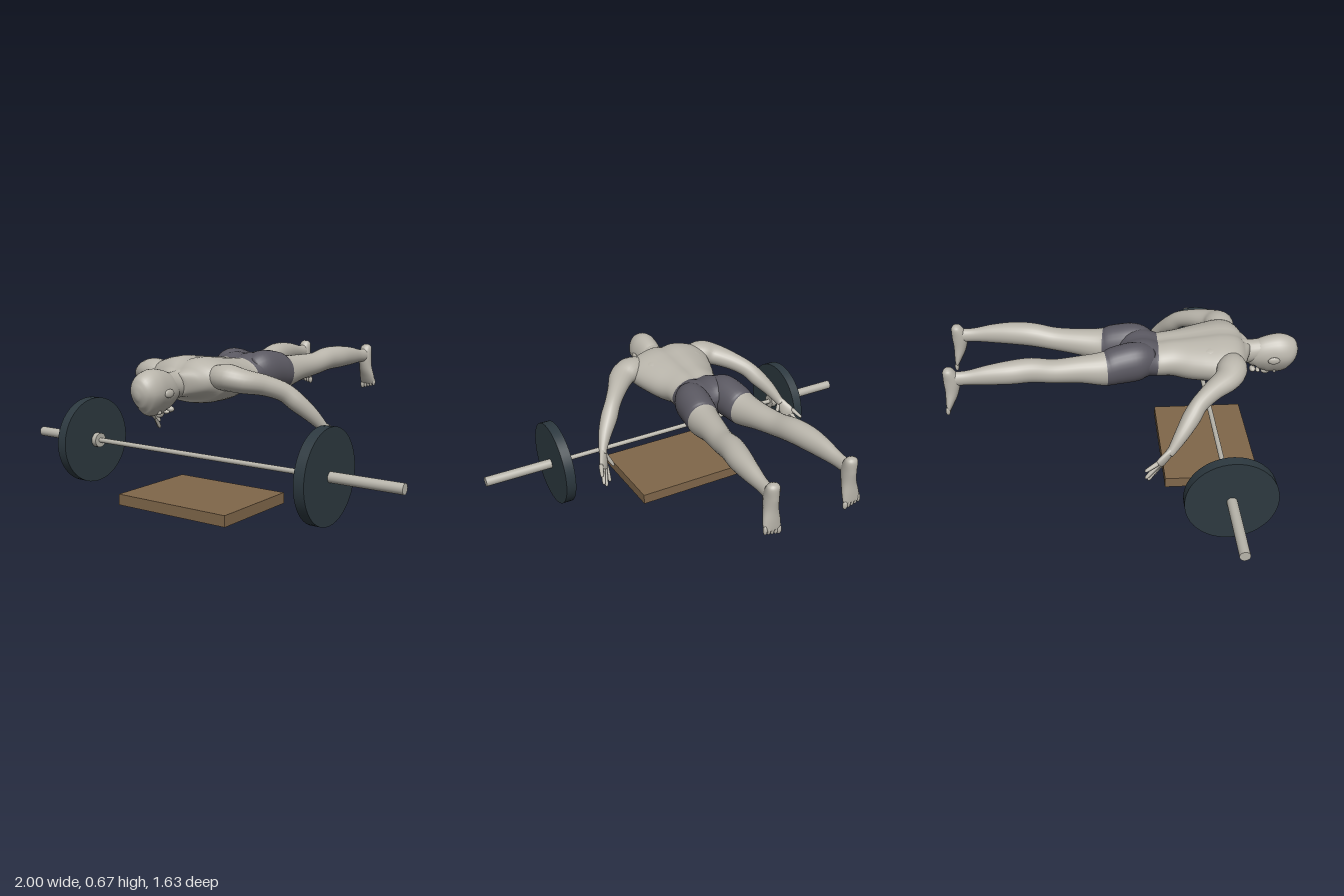
import * as THREE from 'three';

const mat = (name, color) => Object.assign(new THREE.MeshStandardMaterial({ color }), { name });
const V = (x, y, z) => new THREE.Vector3(x, y, z);

// Smooth skin through elliptical sections [x, y, z, halfWidth, halfHeight].
// pick(z) chooses the material index of a band, bend(p) adjusts each vertex.
function loft(stations, { n = 20, sub = 5, up = V(0, 1, 0), pick = () => 0, bend = () => {} } = {}) {
  const path = new THREE.CatmullRomCurve3(stations.map(s => V(s[0], s[1], s[2])), false, 'catmullrom', 0.5);
  const size = new THREE.CatmullRomCurve3(stations.map(s => V(s[3], s[4], 0)), false, 'catmullrom', 0.5);
  const rings = (stations.length - 1) * sub, pos = [], idx = [], zs = [];
  const geo = new THREE.BufferGeometry();
  for (let i = 0; i <= rings; i++) {
    const c = path.getPoint(i / rings), r = size.getPoint(i / rings), t = path.getTangent(i / rings);
    const side = up.clone().cross(t).normalize(), top = t.clone().cross(side);
    zs.push(c.z);
    for (let j = 0; j < n; j++) {
      const a = j / n * Math.PI * 2;
      const p = c.clone().addScaledVector(side, Math.cos(a) * r.x).addScaledVector(top, Math.sin(a) * r.y);
      bend(p, c);
      pos.push(p.x, p.y, p.z);
    }
  }
  const first = path.getPoint(0), last = path.getPoint(1), capA = pos.length / 3;
  pos.push(first.x, first.y, first.z, last.x, last.y, last.z);
  const add = (z, ...tri) => {
    const m = pick(z), g = geo.groups[geo.groups.length - 1];
    if (g && g.materialIndex === m) g.count += tri.length;
    else geo.addGroup(idx.length, tri.length, m);
    idx.push(...tri);
  };
  for (let j = 0; j < n; j++) add(zs[0], capA, (j + 1) % n, j);
  for (let i = 0; i < rings; i++) for (let j = 0; j < n; j++) {
    const a = i * n + j, b = i * n + (j + 1) % n;
    add((zs[i] + zs[i + 1]) / 2, a, b, a + n, b, b + n, a + n);
  }
  for (let j = 0; j < n; j++) add(zs[rings], capA + 1, rings * n + j, rings * n + (j + 1) % n);
  geo.setAttribute('position', new THREE.Float32BufferAttribute(pos, 3));
  geo.setIndex(idx);
  geo.computeVertexNormals();
  return geo;
}

export function createModel() {
  const model = new THREE.Group();
  const skin = mat('skin', 0xb8b4aa), shorts = mat('shorts', 0x5a5861);
  const steel = mat('steel', 0xb8b5ab), iron = mat('iron', 0x2d3940), wood = mat('wood', 0x80674a);
  const body = [skin, shorts];
  const inShorts = z => (z < 0.15 && z > -0.09 ? 1 : 0);

  const put = (name, geo, material, x = 0, y = 0, z = 0, parent = model) => {
    const m = new THREE.Mesh(geo, material);
    m.name = name;
    m.position.set(x, y, z);
    parent.add(m);
    return m;
  };
  const ball = (name, x, y, z, rx, ry, rz, parent = model) =>
    put(name, new THREE.SphereGeometry(1, 16, 12), skin, x, y, z, parent).scale.set(rx, ry, rz);

  // Wooden board
  put('board', new THREE.BoxGeometry(0.59, 0.05, 0.445), wood, 0, 0.025, 0.4025);

  // Barbell
  const barbell = new THREE.Group();
  barbell.name = 'barbell';
  barbell.position.set(0, 0.226, 0.424);
  model.add(barbell);
  const rod = (name, r, length, x, material, sides = 24) =>
    put(name, new THREE.CylinderGeometry(r, r, length, sides).rotateZ(Math.PI / 2), material, x, 0, 0, barbell);
  rod('bar', 0.0115, 1.22, 0, steel);
  for (const s of [1, -1]) {
    rod('sleeve', 0.023, 0.39, s * 0.805, steel);
    rod('innerCollar', 0.034, 0.025, s * 0.612, steel);
    rod('plate', 0.204, 0.048, s * 0.65, iron, 48);
  }

  // Torso with a groove along the spine and between the buttocks
  put('torso', loft([
    [0, 0.565, 0.58, 0.05, 0.055], [0, 0.57, 0.545, 0.14, 0.065], [0, 0.577, 0.5, 0.205, 0.094],
    [0, 0.573, 0.45, 0.215, 0.104], [0, 0.567, 0.38, 0.198, 0.103], [0, 0.562, 0.3, 0.17, 0.099],
    [0, 0.564, 0.22, 0.138, 0.09], [0, 0.562, 0.15, 0.137, 0.085], [0, 0.575, 0.08, 0.152, 0.091],
    [0, 0.567, 0.02, 0.15, 0.075], [0, 0.56, -0.01, 0.08, 0.04],
  ], {
    n: 48, pick: inShorts,
    bend: (p, c) => { if (p.y > c.y) p.y -= 0.013 * Math.exp(-((p.x / 0.03) ** 2)); },
  }), body);

  // Neck and head, face down, with a narrower jaw side
  put('neck', loft([[0, 0.575, 0.67, 0.05, 0.05], [0, 0.563, 0.6, 0.05, 0.056],
    [0, 0.565, 0.55, 0.06, 0.06], [0, 0.575, 0.48, 0.11, 0.075]]), skin);
  put('head', loft([
    [0, 0.495, 0.597, 0.02, 0.03], [0, 0.512, 0.61, 0.045, 0.06], [0, 0.532, 0.645, 0.06, 0.086],
    [0, 0.543, 0.69, 0.068, 0.095], [0, 0.547, 0.735, 0.072, 0.097], [0, 0.547, 0.775, 0.064, 0.083],
    [0, 0.543, 0.802, 0.042, 0.054], [0, 0.54, 0.816, 0.01, 0.013],
  ], { n: 32, bend: p => { p.x *= 1 - 0.35 * Math.max(0, Math.min(1, (0.54 - p.y) / 0.1)); } }), skin);
  ball('nose', 0, 0.451, 0.675, 0.012, 0.016, 0.022);
  ball('lips', 0, 0.455, 0.638, 0.018, 0.009, 0.011);
  ball('chin', 0, 0.463, 0.612, 0.022, 0.014, 0.015);

  for (const s of [1, -1]) {
    const side = s > 0 ? 'left' : 'right';
    const limb = (name, stations, material, options) =>
      put(side + name, loft(stations.map(([x, ...rest]) => [s * x, ...rest]), options), material);

    ball(side + 'Ear', s * 0.071, 0.545, 0.695, 0.009, 0.018, 0.028);
    ball(side + 'Brow', s * 0.022, 0.465, 0.712, 0.018, 0.012, 0.008);
    ball(side + 'ShoulderBlade', s * 0.095, 0.618, 0.41, 0.065, 0.038, 0.085);

    // Leg, with the upper thigh in shorts
    limb('Leg', [
      [0.072, 0.572, 0.13, 0.055, 0.065], [0.085, 0.577, 0.06, 0.08, 0.092], [0.098, 0.568, -0.03, 0.08, 0.09],
      [0.107, 0.557, -0.09, 0.075, 0.08], [0.122, 0.566, -0.2, 0.061, 0.063], [0.143, 0.575, -0.32, 0.054, 0.054],
      [0.156, 0.592, -0.42, 0.054, 0.056], [0.172, 0.594, -0.51, 0.052, 0.054], [0.182, 0.59, -0.61, 0.039, 0.046],
      [0.187, 0.583, -0.7, 0.027, 0.034], [0.19, 0.58, -0.77, 0.026, 0.034],
    ], body, { n: 28, pick: inShorts });

    // Foot pointing down, sole to the back
    limb('Foot', [
      [0.19, 0.637, -0.787, 0.012, 0.01], [0.19, 0.622, -0.784, 0.028, 0.025], [0.19, 0.575, -0.772, 0.031, 0.037],
      [0.192, 0.52, -0.775, 0.033, 0.031], [0.195, 0.47, -0.787, 0.04, 0.021], [0.197, 0.435, -0.796, 0.041, 0.012],
      [0.197, 0.425, -0.798, 0.034, 0.006],
    ], skin, { up: V(0, 0, 1) });
    for (let i = 0; i < 5; i++)
      ball(side + 'Toe', s * (0.165 + i * 0.0165), 0.42 + i * 0.004, -0.798, i ? 0.0085 : 0.012, 0.021, 0.01);

    // Arm from the shoulder to the wrist
    limb('Arm', [
      [0.13, 0.59, 0.48, 0.05, 0.05], [0.2, 0.597, 0.475, 0.068, 0.057], [0.26, 0.582, 0.447, 0.062, 0.052],
      [0.32, 0.562, 0.375, 0.046, 0.045], [0.375, 0.53, 0.31, 0.038, 0.041], [0.415, 0.485, 0.27, 0.04, 0.041],
      [0.46, 0.43, 0.225, 0.031, 0.033], [0.492, 0.378, 0.185, 0.02, 0.023], [0.5, 0.36, 0.168, 0.018, 0.02],
    ], skin);

    // Open hand with spread fingers
    const palmUp = V(s * 0.76, -0.27, 0.6);
    limb('Palm', [[0.492, 0.382, 0.188, 0.018, 0.016], [0.502, 0.355, 0.162, 0.028, 0.015],
      [0.515, 0.325, 0.132, 0.036, 0.014], [0.519, 0.308, 0.118, 0.03, 0.008]], skin, { up: palmUp });
    const finger = (name, a, b) => {
      const at = (t, r) => [...a.map((v, k) => v + (b[k] - v) * t), r, r];
      limb(name, [at(0, 0.011), at(0.5, 0.0095), at(0.9, 0.0075), at(1, 0.002)], skin, { n: 10, sub: 3, up: palmUp });
    };
    finger('Thumb', [0.488, 0.355, 0.17], [0.456, 0.292, 0.152]);
    finger('IndexFinger', [0.5, 0.31, 0.138], [0.502, 0.247, 0.1]);
    finger('MiddleFinger', [0.512, 0.318, 0.13], [0.53, 0.242, 0.076]);
    finger('RingFinger', [0.525, 0.325, 0.122], [0.549, 0.267, 0.062]);
    finger('LittleFinger', [0.535, 0.338, 0.117], [0.556, 0.312, 0.06]);
  }
  return model;
}
